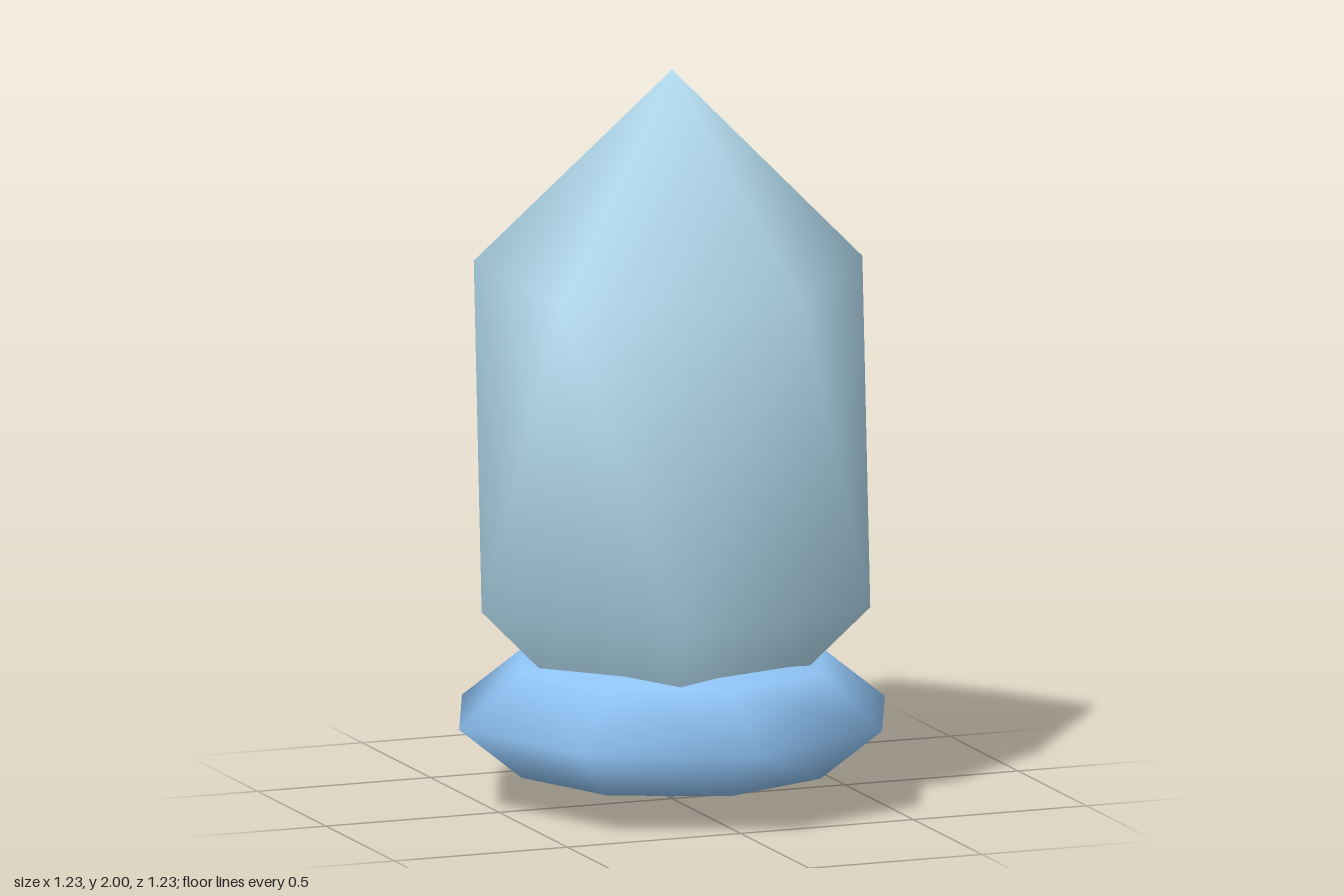
import * as THREE from 'three';
import { mergeVertices } from 'three/addons/utils/BufferGeometryUtils.js';

const RADIUS = 0.615;

// Tall crystal: a stretched icosahedron standing on one vertex, smooth shaded
function makeCrystal() {
  let geo = new THREE.IcosahedronGeometry(1, 0);
  geo.deleteAttribute('uv');
  geo.deleteAttribute('normal');
  geo = mergeVertices(geo);
  geo.rotateZ(-Math.atan(2 / (1 + Math.sqrt(5))));
  geo.scale(RADIUS, 1, RADIUS);
  geo.computeVertexNormals();
  const mesh = new THREE.Mesh(geo, new THREE.MeshStandardMaterial({ color: 0xb5def2 }));
  mesh.name = 'crystal';
  mesh.position.y = 1;
  return mesh;
}

// Base: a flattened eight-sided sphere that the crystal's lower tip pierces
function makeBase() {
  const geo = new THREE.SphereGeometry(RADIUS, 8, 4);
  geo.scale(1, 1 / 3, 1);
  const mesh = new THREE.Mesh(geo, new THREE.MeshStandardMaterial({ color: 0x90c4f6 }));
  mesh.name = 'base';
  mesh.position.y = 0.235;
  return mesh;
}

export function createModel() {
  const model = new THREE.Group();
  model.name = 'crystalOnBase';
  model.add(makeCrystal(), makeBase());
  return model;
}
